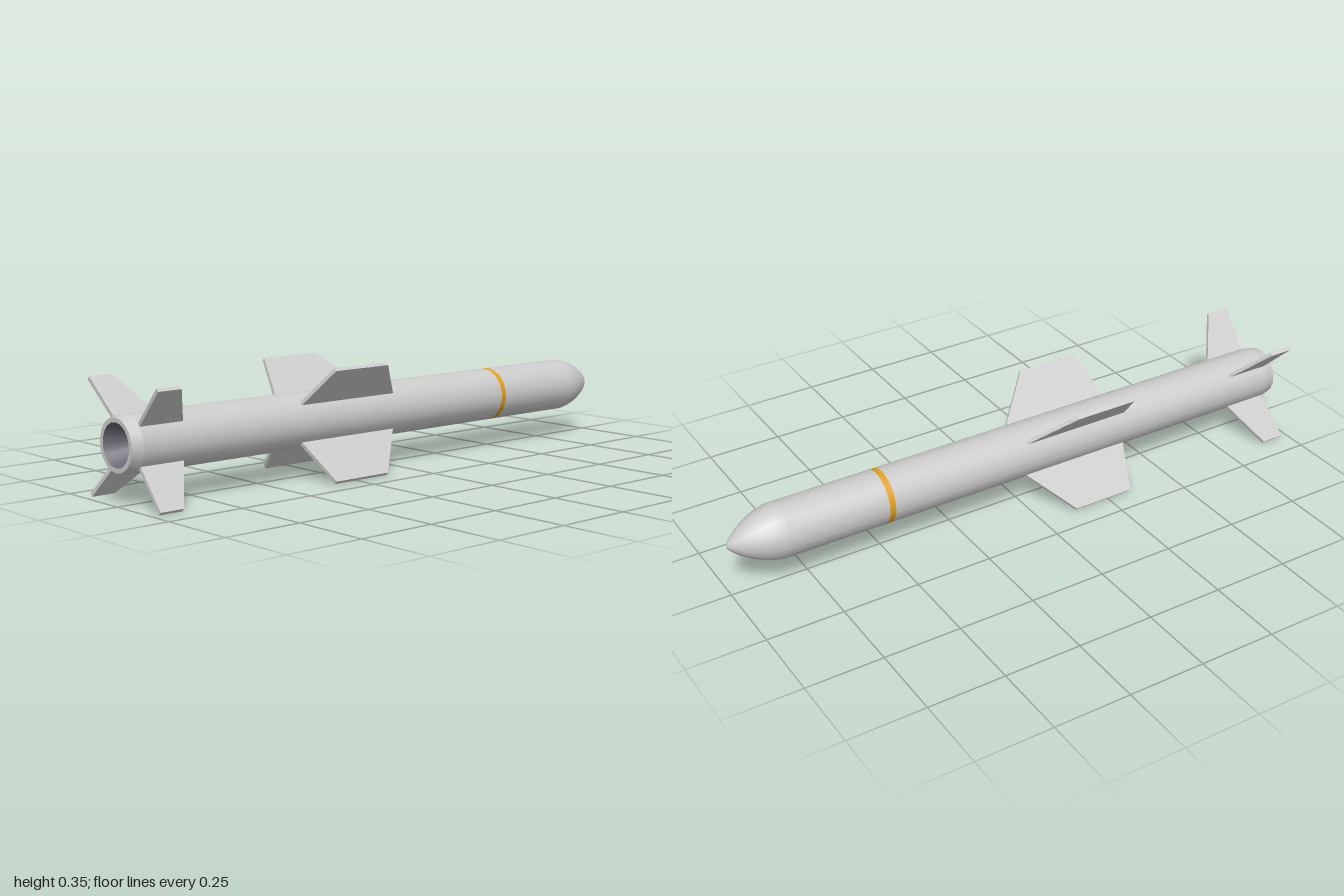
import * as THREE from 'three';

const AXIS_Y = 0.176, R = 0.088, SIDES = 18;
const grey = new THREE.MeshStandardMaterial({ color: 0xcccccc });
const dark = new THREE.MeshStandardMaterial({ color: 0x6a6872 });
const yellow = new THREE.MeshStandardMaterial({ color: 0xe0a020 });

// Surface of revolution along z from [radius, z] points listed tail to nose
function turned(name, points, material) {
  const profile = points.map(([r, z]) => new THREE.Vector2(r, -z));
  const geometry = new THREE.LatheGeometry(profile, SIDES).rotateX(-Math.PI / 2);
  const mesh = new THREE.Mesh(geometry, material);
  mesh.name = name;
  return mesh;
}

// Four flat plates in an X, outlined by [radius, z] corners
function finSet(name, corners, thickness) {
  const shape = new THREE.Shape(corners.map(([r, z]) => new THREE.Vector2(r, -z)));
  const geometry = new THREE.ExtrudeGeometry(shape, { depth: thickness, bevelEnabled: false })
    .translate(0, 0, -thickness / 2)
    .rotateX(-Math.PI / 2);
  const set = new THREE.Group();
  set.name = name + 's';
  for (let i = 0; i < 4; i++) {
    const fin = new THREE.Mesh(geometry, grey);
    fin.name = name;
    fin.rotation.z = Math.PI / 4 + i * Math.PI / 2;
    set.add(fin);
  }
  return set;
}

export function createModel() {
  const model = new THREE.Group();
  model.name = 'missile';

  const body = new THREE.Group();
  body.name = 'body';
  body.position.y = AXIS_Y;
  model.add(body);

  // Hollow exhaust
  body.add(
    turned('nozzleFloor', [[0, 0.92], [0.041, 0.92]], dark),
    turned('nozzleWall', [[0.041, 0.92], [0.066, 1]], dark),
    turned('tailRim', [[0.066, 1], [0.08, 1]], grey),
    turned('tailTaper', [[0.08, 1], [0.084, 0.982], [R, 0.965]], grey),
  );

  // Tube, painted band and nose
  body.add(
    turned('rearTube', [[R, 0.965], [R, -0.48]], grey),
    turned('band', [[R, -0.48], [R, -0.5]], yellow),
    turned('frontTube', [[R, -0.5], [R, -0.83]], grey),
    turned('nose', [
      [R, -0.83], [0.087, -0.85], [0.082, -0.875], [0.073, -0.902],
      [0.059, -0.932], [0.042, -0.96], [0.024, -0.982], [0.01, -0.995], [0, -1],
    ], grey),
  );

  // Mid wings and tail fins
  body.add(
    finSet('wing', [[0.078, 0.38], [0.243, 0.335], [0.243, 0.125], [0.085, 0], [0.078, 0]], 0.012),
    finSet('tailFin', [[0.078, 0.962], [0.243, 0.975], [0.243, 0.897], [0.085, 0.815], [0.078, 0.815]], 0.012),
  );

  return model;
}
